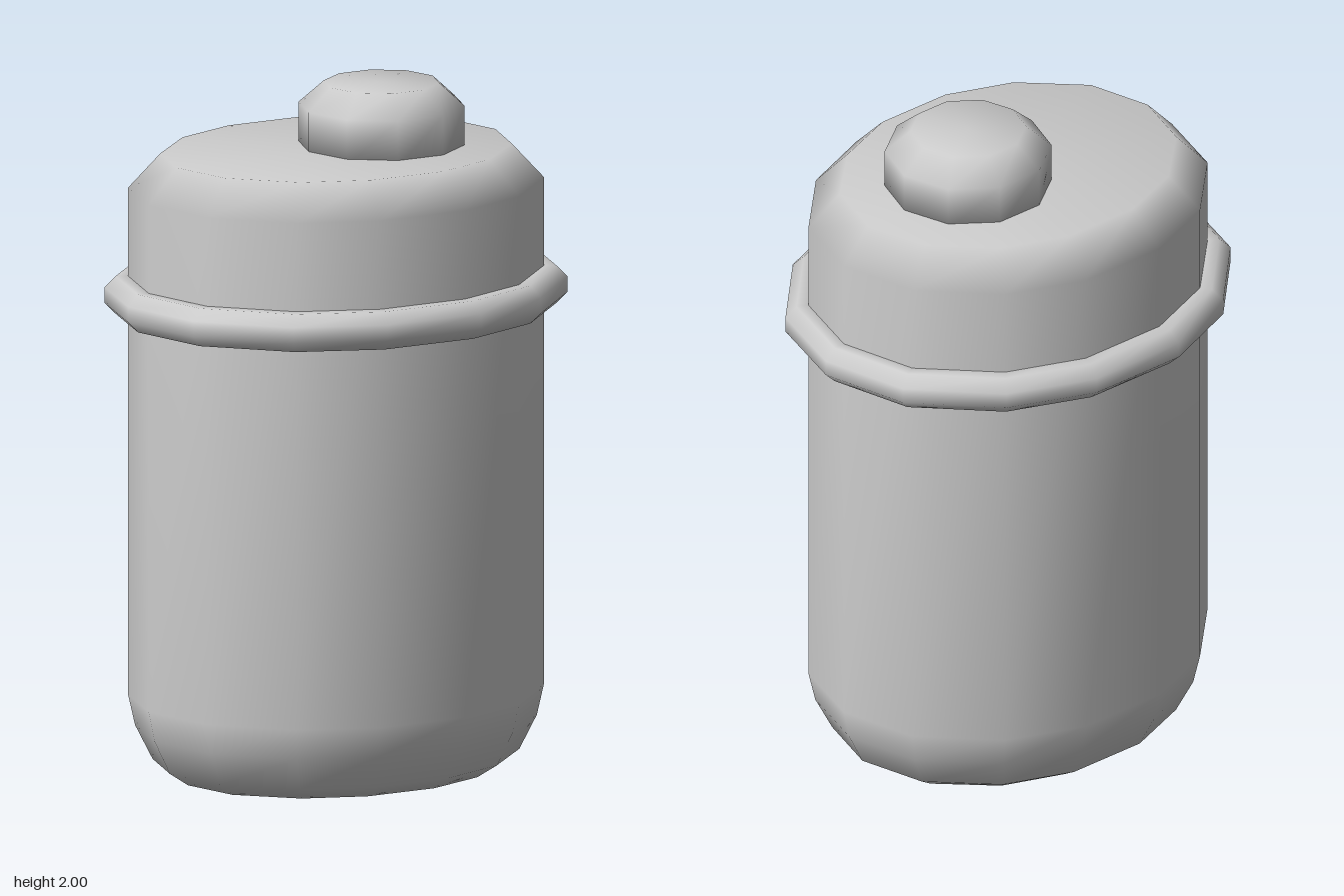
import * as THREE from 'three';

const CENTRE = 9; // an inset this large collapses a loop to the axis

// Skins an outline [x, z] through levels [y, inset], listed from bottom to top.
function loft(name, outline, levels) {
  const n = outline.length;
  const w = Math.max(...outline.map(p => p[0]));
  const d = Math.max(...outline.map(p => p[1]));
  const positions = [], index = [];
  levels.forEach(([y, inset], i) => {
    const sx = Math.max(0, 1 - inset / w), sz = Math.max(0, 1 - inset / d);
    outline.forEach(([x, z], j) => {
      positions.push(x * sx, y, z * sz);
      if (i === levels.length - 1) return;
      const a = i * n + j, b = i * n + (j + 1) % n;
      if (inset < CENTRE) index.push(a, a + n, b);
      if (levels[i + 1][1] < CENTRE) index.push(b, a + n, b + n);
    });
  });
  const geometry = new THREE.BufferGeometry();
  geometry.setAttribute('position', new THREE.Float32BufferAttribute(positions, 3));
  geometry.setIndex(index);
  geometry.computeVertexNormals();
  const mesh = new THREE.Mesh(geometry, new THREE.MeshStandardMaterial({ color: 0xcccccc }));
  mesh.name = name;
  return mesh;
}

// Fourteen-sided oval, mirrored from one quarter
function ovalOutline() {
  const quarter = [[0.617, 0], [0.555, 0.231], [0.367, 0.42], [0.139, 0.51]];
  const half = [...quarter, ...quarter.slice(1).reverse().map(([x, z]) => [-x, z])];
  return [...half, ...half.map(([x, z]) => [-x, -z])];
}

export function createModel() {
  const group = new THREE.Group();
  group.name = 'canister';
  const oval = ovalOutline();

  // Body with rounded foot and bevelled shoulder
  group.add(loft('body', oval, [
    [0, CENTRE], [0, 0.13], [0.04, 0.07], [0.14, 0.02], [0.23, 0],
    [1.72, 0], [1.82, 0.092], [1.82, CENTRE],
  ]));

  // Raised band with an octagonal section, its seam hidden inside the body
  const section = [];
  for (let i = 0; i <= 8; i++) {
    const a = -Math.PI + Math.PI / 8 + i * Math.PI / 4;
    section.push([1.405 + 0.06 * Math.sin(a), -0.012 - 0.06 * Math.cos(a)]);
  }
  group.add(loft('band', oval, section));

  // Ten-sided knob set off-centre on the top
  const decagon = Array.from({ length: 10 }, (_, i) => {
    const a = i * Math.PI / 5;
    return [0.24 * Math.cos(a), 0.24 * Math.sin(a)];
  });
  const knob = loft('knob', decagon, [
    [1.8, CENTRE], [1.8, 0], [1.935, 0], [2, 0.072], [2, CENTRE],
  ]);
  knob.position.x = 0.15;
  group.add(knob);

  return group;
}
